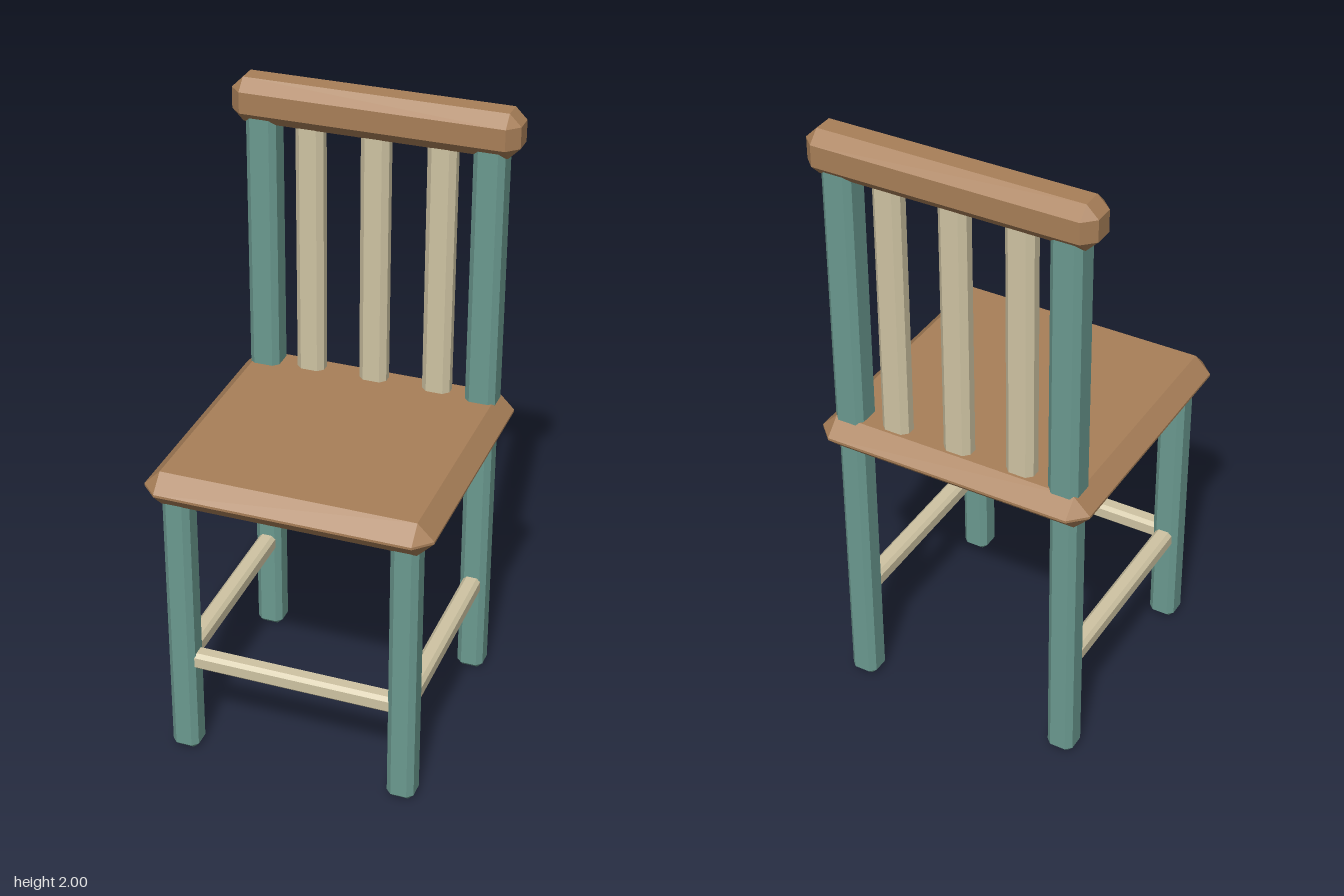
import * as THREE from 'three';
import { ConvexGeometry } from 'three/addons/geometries/ConvexGeometry.js';

const paint = (color) => new THREE.MeshStandardMaterial({ color, flatShading: true });

// Box of full size w, h, d with every edge cut at 45 degrees by b
function chamferedBox(w, h, d, b) {
  const half = [w / 2, h / 2, d / 2];
  const points = [];
  for (const sx of [-1, 1]) for (const sy of [-1, 1]) for (const sz of [-1, 1]) {
    const sign = [sx, sy, sz];
    for (let full = 0; full < 3; full++) {
      const p = half.map((v, i) => sign[i] * (i === full ? v : v - b));
      points.push(new THREE.Vector3(...p));
    }
  }
  return new ConvexGeometry(points);
}

export function createModel() {
  const chair = new THREE.Group();
  chair.name = 'chair';
  const brown = paint(0xa87f58);
  const teal = paint(0x6b9a90);
  const cream = paint(0xcfc4a3);

  const add = (name, material, size, bevel, position) => {
    const mesh = new THREE.Mesh(chamferedBox(...size, bevel), material);
    mesh.name = name;
    mesh.position.set(...position);
    chair.add(mesh);
  };

  const leg = 0.362; // distance of the legs from the centre lines

  // Seat and top rail
  add('seat', brown, [0.91, 0.112, 0.91], 0.052, [0, 0.976, 0]);
  add('topRail', brown, [0.91, 0.142, 0.136], 0.037, [0, 1.929, -leg]);

  for (const [side, s] of [['left', 1], ['right', -1]]) {
    // Legs, with their tops sunk into the seat
    add(side + 'FrontLeg', teal, [0.088, 0.95, 0.088], 0.018, [s * leg, 0.475, leg]);
    add(side + 'BackLeg', teal, [0.088, 0.95, 0.088], 0.018, [s * leg, 0.475, -leg]);
    // Back post between seat and top rail
    add(side + 'BackPost', teal, [0.098, 0.94, 0.098], 0.018, [s * leg, 1.45, -leg]);
    // Side stretcher
    add(side + 'Stretcher', cream, [0.058, 0.058, 0.72], 0.012, [s * leg, 0.341, 0]);
  }

  // Front stretcher; the back has none
  add('frontStretcher', cream, [0.72, 0.058, 0.058], 0.012, [0, 0.341, leg]);

  // Back slats
  for (const i of [-1, 0, 1]) {
    add('backSlat', cream, [0.091, 0.92, 0.064], 0.018, [i * 0.211, 1.45, -leg]);
  }
  return chair;
}
